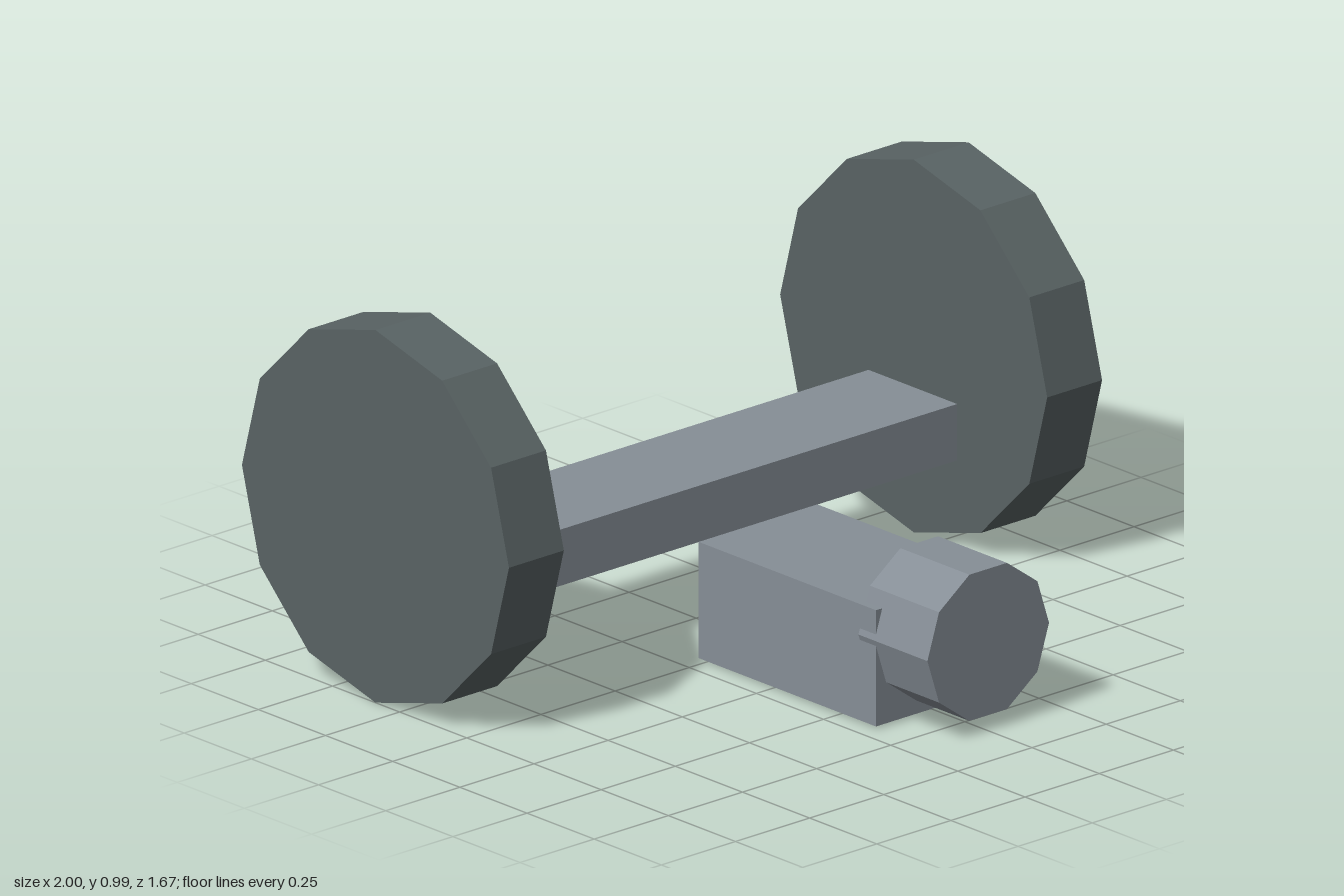
import * as THREE from 'three';

export function createModel() {
  const model = new THREE.Group();
  const metal = new THREE.MeshStandardMaterial({ color: 0x868e96, flatShading: true });
  metal.name = 'grey metal';
  const rubber = new THREE.MeshStandardMaterial({ color: 0x596364, flatShading: true });
  rubber.name = 'dark rubber';

  const add = (name, geometry, material, x, y, z) => {
    const mesh = new THREE.Mesh(geometry, material);
    mesh.name = name;
    mesh.position.set(x, y, z);
    model.add(mesh);
  };

  // Twelve-sided wheels at both ends of the axle
  const wheel = new THREE.CylinderGeometry(0.497, 0.497, 0.185, 12).rotateZ(Math.PI / 2);
  add('leftWheel', wheel, rubber, 0.9075, 0.5, -0.34);
  add('rightWheel', wheel, rubber, -0.9075, 0.5, -0.34);

  // Flat bar axle
  add('axle', new THREE.BoxGeometry(1.63, 0.15, 0.33), metal, 0, 0.315, -0.343);

  // Body block, separate from the axle
  add('body', new THREE.BoxGeometry(0.4, 0.31, 0.66), metal, 0, 0.165, 0.31);

  // Ten-sided nose with corners pointing left and right
  const nose = new THREE.CylinderGeometry(0.205, 0.205, 0.257, 10, 1, false, Math.PI / 2);
  add('nose', nose.rotateX(Math.PI / 2), metal, 0, 0.24, 0.7085);

  return model;
}
